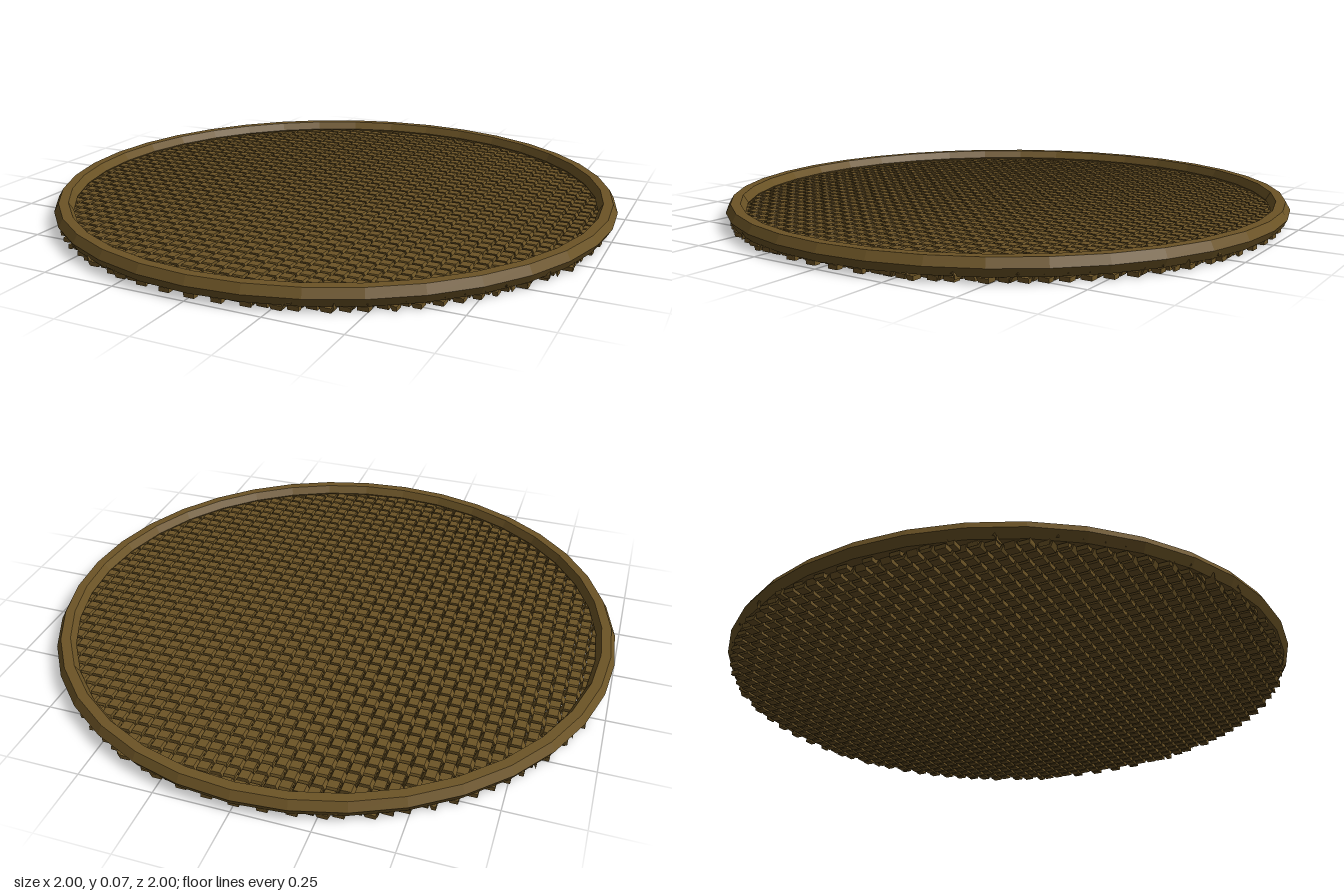
import * as THREE from 'three';
import { mergeGeometries } from 'three/addons/utils/BufferGeometryUtils.js';

const STEP = 0.044;      // strip spacing
const WIDTH = 0.035;     // strip width
const THICK = 0.014;     // strip thickness
const AMP = 0.013;       // rise and dip at each crossing
const MID = 0.02;        // height of the weave's middle
const RADIUS = 0.975;    // weave is cut to this circle
const FLAT = 0.36;       // share of a cell, each way, that stays level

function faceted(geometry) {
  const g = geometry.toNonIndexed();
  g.computeVertexNormals();
  return g;
}

// Height of a strip at a distance along it: level over each crossing, sloping between
function wave(along, parity) {
  const c = along / STEP;
  const k = Math.round(c);
  const f = Math.abs(c - k);
  const side = Math.abs(k + parity) % 2 === 0 ? 1 : -1;
  return side * AMP * (f <= FLAT ? 1 : (0.5 - f) / (0.5 - FLAT));
}

// One strip running along x, bent by the wave and trimmed to the circle
function strip(index, shift) {
  const z = index * STEP;
  const half = Math.sqrt(RADIUS ** 2 - z ** 2);
  const n = Math.ceil(half / STEP);
  const segments = 4 * n + 1;
  const g = new THREE.BoxGeometry(segments, THICK, WIDTH, segments, 1, 1);
  const p = g.attributes.position;
  for (let i = 0; i < p.count; i++) {
    const q = Math.round(p.getX(i) * 2) / 4;   // quarter points of the cells
    const k = Math.round(q);
    const x = THREE.MathUtils.clamp((k + Math.sign(q - k) * FLAT) * STEP, -half, half);
    p.setXYZ(i, x, p.getY(i) + MID + wave(x, index + shift), p.getZ(i) + z);
  }
  return faceted(g);
}

function strips(shift) {
  const list = [];
  for (let i = -21; i <= 21; i++) list.push(strip(i, shift));
  return mergeGeometries(list);
}

export function createModel() {
  const group = new THREE.Group();
  const wicker = new THREE.MeshStandardMaterial({ color: 0x6c5426 });
  wicker.name = 'brown wicker';

  const add = (name, geometry) => {
    const mesh = new THREE.Mesh(geometry, wicker);
    mesh.name = name;
    group.add(mesh);
  };

  // Six-sided rim
  const rim = new THREE.TorusGeometry(0.967, 0.033, 6, 36);
  rim.rotateX(Math.PI / 2);
  rim.translate(0, 0.046, 0);
  add('rim', faceted(rim));

  // Woven floor: two sets of strips passing over and under each other
  add('crosswiseStrips', strips(0));
  add('lengthwiseStrips', strips(1).rotateY(Math.PI / 2));

  return group;
}
